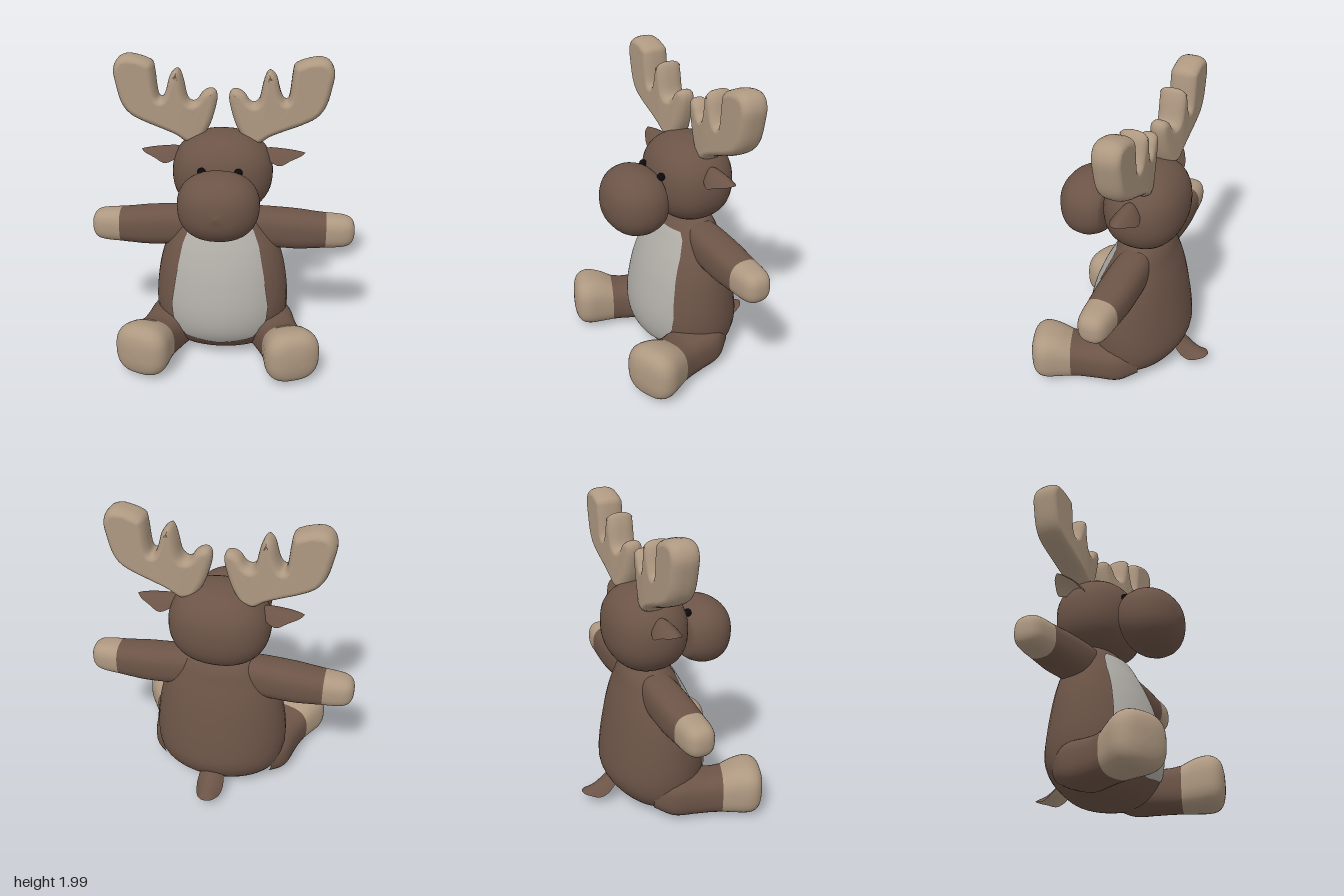
import * as THREE from 'three';
import { mergeVertices } from 'three/addons/utils/BufferGeometryUtils.js';

const V = (x, y, z) => new THREE.Vector3(x, y, z);
const X = V(1, 0, 0), Y = V(0, 1, 0), Z = V(0, 0, 1);

function material(name, color) {
  const m = new THREE.MeshStandardMaterial({ color });
  m.name = name;
  return m;
}

// Surface from f(row, column) -> Vector3, with shared vertices for smooth normals
function grid(rows, cols, f, closed = false, flip = false) {
  const pos = [], index = [], n = closed ? cols : cols + 1;
  for (let i = 0; i <= rows; i++)
    for (let j = 0; j < n; j++) pos.push(...f(i / rows, j / cols).toArray());
  for (let i = 0; i < rows; i++)
    for (let j = 0; j < cols; j++) {
      const k = (j + 1) % n;
      const a = i * n + j, b = i * n + k, c = (i + 1) * n + k, d = (i + 1) * n + j;
      if (flip) index.push(a, d, b, b, d, c);
      else index.push(a, b, d, b, c, d);
    }
  const g = new THREE.BufferGeometry();
  g.setAttribute('position', new THREE.Float32BufferAttribute(pos, 3));
  g.setIndex(index);
  g.computeVertexNormals();
  return g;
}

// Interpolates sections [centre, radiusU, radiusV]
function sampler(sections) {
  const c = new THREE.CatmullRomCurve3(sections.map(s => s[0]), false, 'catmullrom', 0.5);
  const r = new THREE.CatmullRomCurve3(sections.map(s => V(s[1], s[2], 0)), false, 'catmullrom', 0.5);
  return t => [c.getPoint(t), r.getPoint(t)];
}

// Superellipse loft; U x V points along the sections
function loft(sections, u, v, power = 2) {
  const at = sampler(sections);
  const e = a => Math.sign(a) * Math.abs(a) ** (2 / power);
  return grid((sections.length - 1) * 5, 36, (t, s) => {
    const [c, r] = at(t), a = s * Math.PI * 2;
    return c.addScaledVector(u, Math.max(0, r.x) * e(Math.cos(a)))
      .addScaledVector(v, Math.max(0, r.y) * e(Math.sin(a)));
  }, true);
}

// Arched leaf along +x; rows are [x, y, halfWidth, drop]
function leaf(rows, under) {
  const a = sampler(rows.map(r => [V(r[0], r[1], 0), r[2], r[3]]));
  return grid(24, 14, (t, s) => {
    const [c, r] = a(t), q = s * 2 - 1, w = Math.max(0, r.x);
    const thick = under ? 0.3 * w * (1 - q * q) : 0;
    return V(c.x, c.y - r.y * q * q - thick, w * q);
  }, false, under);
}

function smooth(g) {
  g.deleteAttribute('uv');
  g.deleteAttribute('normal');
  const m = mergeVertices(g, 1e-4);
  m.computeVertexNormals();
  return m;
}

function mirrored(g) {
  const m = g.clone().scale(-1, 1, 1), a = m.index.array;
  for (let i = 0; i < a.length; i += 3) [a[i], a[i + 1]] = [a[i + 1], a[i]];
  m.computeVertexNormals();
  return m;
}

export function createModel() {
  const model = new THREE.Group();
  model.name = 'plushMoose';
  const brown = material('brownFur', 0x6c5447);
  const tan = material('tanFur', 0xae9881);
  const grey = material('greyBelly', 0xb0ada7);
  const black = material('blackEye', 0x0b0b0b);
  grey.side = THREE.DoubleSide;

  const add = (name, g, m) => {
    const mesh = new THREE.Mesh(g, m);
    mesh.name = name;
    model.add(mesh);
  };
  const pair = (name, g, m) => {
    add(name + 'Left', g, m);
    add(name + 'Right', mirrored(g), m);
  };

  // Body: [y, half width, front z, back z]
  const body = [
    [0.005, 0, -0.1, -0.1], [0.012, 0.17, 0.02, -0.2], [0.05, 0.32, 0.15, -0.26],
    [0.14, 0.41, 0.24, -0.34], [0.25, 0.44, 0.285, -0.385], [0.4, 0.445, 0.285, -0.375],
    [0.6, 0.42, 0.24, -0.34], [0.75, 0.378, 0.185, -0.305], [0.86, 0.325, 0.13, -0.27],
    [0.94, 0.27, 0.085, -0.245], [1.0, 0.2, 0.03, -0.21], [1.05, 0.1, -0.02, -0.16],
  ].map(([y, w, f, b]) => [V(0, y, (f + b) / 2), (f - b) / 2, w]);
  add('body', loft(body, Z, X), brown);

  // Belly patch laid just over the front of the body
  const bellyWidth = [[0.14, 0.02], [0.17, 0.22], [0.23, 0.26], [0.3, 0.31], [0.4, 0.32],
    [0.6, 0.29], [0.8, 0.25], [0.9, 0.21], [0.95, 0.16]];
  const widthAt = y => {
    let i = 0;
    while (i < bellyWidth.length - 2 && y > bellyWidth[i + 1][0]) i++;
    const [a, b] = [bellyWidth[i], bellyWidth[i + 1]];
    return THREE.MathUtils.mapLinear(y, a[0], b[0], a[1], b[1]);
  };
  const bodyAt = sampler(body);
  add('belly', grid(48, 24, (t, s) => {
    const [c, r] = bodyAt((3 + t * 6) / (body.length - 1));
    const x = widthAt(c.y) * (s * 2 - 1);
    return V(x, c.y, c.z + (r.x + 0.007) * Math.sqrt(1 - (x / (r.y + 0.007)) ** 2));
  }), grey);

  // Head: slightly squared ball
  const head = new THREE.SphereGeometry(1, 40, 28), p = head.attributes.position, n = 2.3;
  for (let i = 0; i < p.count; i++) {
    const d = V(0, 0, 0).fromBufferAttribute(p, i);
    const k = (Math.abs(d.x) ** n + Math.abs(d.y) ** n + Math.abs(d.z) ** n) ** (-1 / n);
    p.setXYZ(i, d.x * k * 0.325, 1.25 + d.y * k * 0.275, -0.088 + d.z * k * 0.26);
  }
  add('head', smooth(head), brown);

  // Muzzle: [z, centre y, half width, half height]
  add('muzzle', loft([
    [0.15, 1.17, 0, 0], [0.155, 1.17, 0.18, 0.14], [0.19, 1.17, 0.23, 0.185],
    [0.25, 1.168, 0.252, 0.21], [0.31, 1.167, 0.254, 0.217], [0.38, 1.165, 0.235, 0.203],
    [0.44, 1.165, 0.185, 0.165], [0.485, 1.165, 0.11, 0.1], [0.508, 1.165, 0, 0],
  ].map(([z, y, a, b]) => [V(0, y, z), a, b]), X, Y, 2.3), brown);

  // Eyes
  pair('eye', smooth(new THREE.SphereGeometry(0.026, 16, 12)).translate(0.115, 1.335, 0.165), black);

  // Ears and tail: arched leaves, lighter underneath
  const ear = [[0.26, 1.4, 0.05, 0.05], [0.3, 1.412, 0.07, 0.07], [0.37, 1.408, 0.09, 0.088],
    [0.44, 1.4, 0.068, 0.05], [0.5, 1.39, 0.035, 0.022], [0.53, 1.383, 0, 0]];
  const tail = [[0.33, 0.22, 0.08, 0.06], [0.39, 0.165, 0.09, 0.065], [0.45, 0.13, 0.08, 0.058],
    [0.51, 0.11, 0.058, 0.022], [0.54, 0.102, 0.03, 0.008], [0.552, 0.1, 0, 0]];
  for (const under of [false, true]) {
    const m = under ? tan : brown, part = under ? 'Inside' : 'Outside';
    pair('ear' + part, leaf(ear, under).translate(0, 0, -0.095), m);
    add('tail' + part, leaf(tail, under).rotateY(Math.PI / 2), m);
  }

  // Arms: [x, centre y, half height, half depth]
  const arm = rows => loft(rows.map(([x, y, h, d]) => [V(x, y, -0.085), h, d]), Y, Z, 2.6);
  pair('arm', arm([[0.08, 0.87, 0.12, 0.09], [0.25, 0.863, 0.13, 0.115], [0.48, 0.85, 0.13, 0.118],
    [0.6, 0.846, 0.12, 0.112], [0.685, 0.845, 0.113, 0.105]]), brown);
  pair('hand', arm([[0.685, 0.845, 0.113, 0.105], [0.76, 0.845, 0.109, 0.1], [0.82, 0.845, 0.1, 0.09],
    [0.855, 0.845, 0.08, 0.07], [0.873, 0.845, 0.045, 0.04], [0.878, 0.845, 0, 0]]), tan);

  // Legs splay outward: [distance from ankle, centre y, half width, half height]
  const out = V(0.35, 0, 0.937), side = V(0.937, 0, -0.35);
  const leg = rows => loft(rows.map(([t, y, w, h]) =>
    [V(0.425, y, 0.28).addScaledVector(out, t), w, h]), side, Y, 2.7);
  pair('leg', leg([[-0.45, 0.17, 0.12, 0.1], [-0.32, 0.165, 0.17, 0.145], [-0.18, 0.16, 0.155, 0.142],
    [-0.08, 0.16, 0.145, 0.14], [0, 0.167, 0.145, 0.148]]), brown);
  pair('foot', leg([[0, 0.167, 0.145, 0.148], [0.08, 0.186, 0.164, 0.168], [0.16, 0.195, 0.18, 0.176],
    [0.215, 0.195, 0.168, 0.164], [0.25, 0.195, 0.13, 0.13], [0.267, 0.195, 0.07, 0.07],
    [0.272, 0.195, 0, 0]]), tan);

  // Antlers: rounded palm outline, thinner towards the inner prong
  const outline = [[0.14, 1.45], [0.085, 1.55], [0.05, 1.66], [0.037, 1.74], [0.055, 1.783], [0.095, 1.786],
    [0.135, 1.76], [0.165, 1.715], [0.2, 1.702], [0.23, 1.735], [0.25, 1.83], [0.272, 1.895],
    [0.3, 1.908], [0.335, 1.87], [0.36, 1.78], [0.385, 1.73], [0.41, 1.735], [0.422, 1.8],
    [0.432, 1.9], [0.455, 1.96], [0.58, 1.998], [0.655, 1.978], [0.69, 1.91], [0.68, 1.82],
    [0.65, 1.7], [0.595, 1.622], [0.5, 1.57], [0.4, 1.53], [0.3, 1.487], [0.23, 1.44]];
  const spline = new THREE.SplineCurve([...outline, outline[0]].map(q => new THREE.Vector2(...q)));
  const antler = smooth(new THREE.ExtrudeGeometry(new THREE.Shape(spline.getPoints(90).slice(0, -1)), {
    depth: 0.03, bevelThickness: 0.072, bevelSize: 0.04, bevelOffset: -0.04, bevelSegments: 6,
  }).translate(0, 0, -0.015));
  const q = antler.attributes.position;
  for (let i = 0; i < q.count; i++)
    q.setZ(i, -0.122 + q.getZ(i) * (0.6 + 0.4 * THREE.MathUtils.smoothstep(q.getX(i), 0.03, 0.3)));
  antler.computeVertexNormals();
  pair('antler', antler, tan);

  return model;
}
